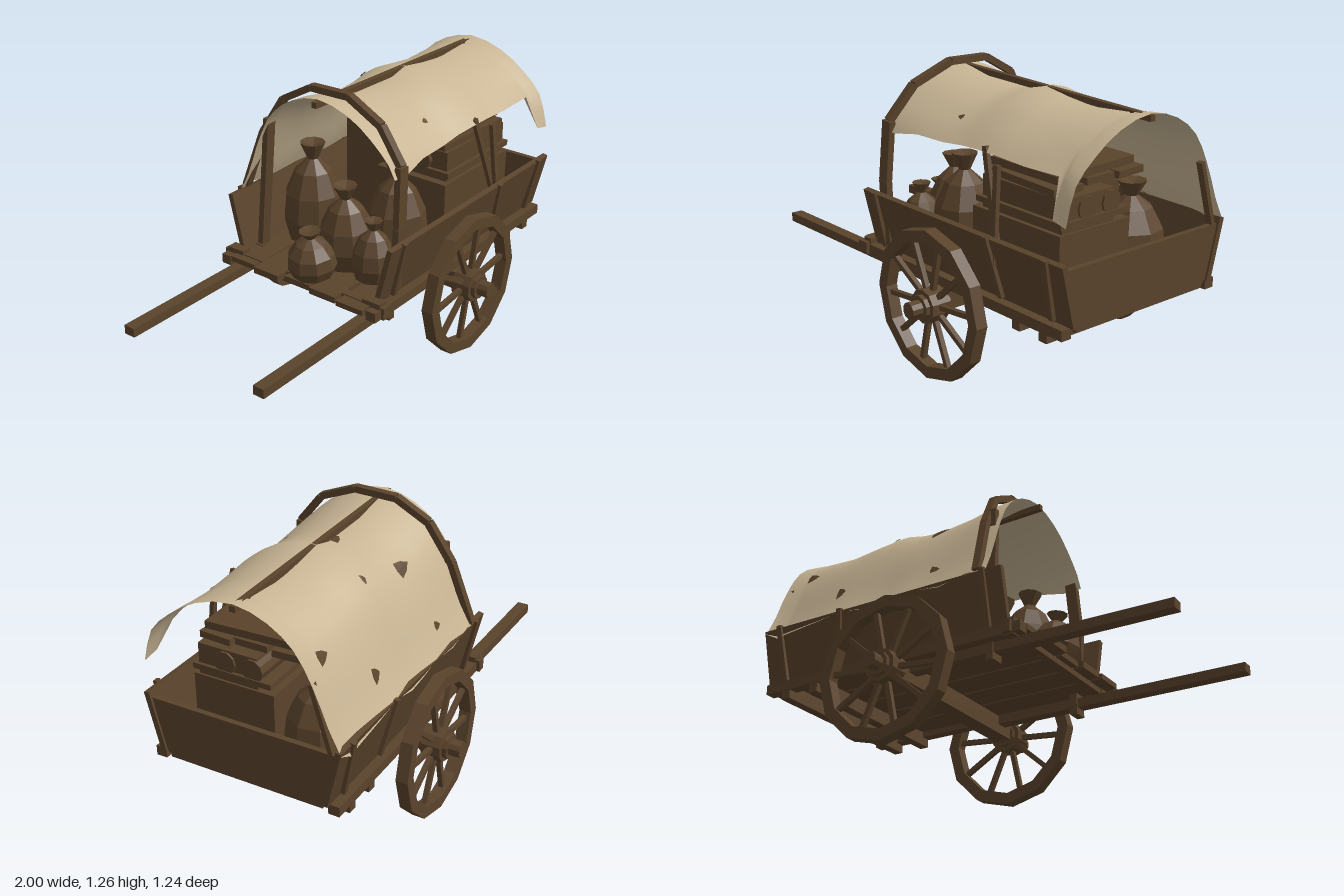
import * as THREE from 'three';

export function createModel() {
  const cart = new THREE.Group();
  const wood = new THREE.MeshStandardMaterial({ color: 0x5a432b, flatShading: true, side: THREE.DoubleSide });
  wood.name = 'brown wood';
  const canvas = new THREE.MeshStandardMaterial({ color: 0xc8b594, side: THREE.DoubleSide });
  canvas.name = 'cream canvas';

  const V = (x, y, z) => new THREE.Vector3(x, y, z);
  function add(name, geo, mat = wood, parent = cart) {
    const m = new THREE.Mesh(geo, mat);
    m.name = name;
    parent.add(m);
    return m;
  }
  // Box given by its two extreme corners
  function box(name, x0, x1, y0, y1, z0, z1) {
    const m = add(name, new THREE.BoxGeometry(x1 - x0, y1 - y0, z1 - z0));
    m.position.set((x0 + x1) / 2, (y0 + y1) / 2, (z0 + z1) / 2);
    return m;
  }
  // Bar from a to b; w is its size along ref, d its size across
  function beam(name, a, b, w, d, ref = V(1, 0, 0), parent = cart) {
    const dir = b.clone().sub(a);
    const m = add(name, new THREE.BoxGeometry(w, dir.length(), d), wood, parent);
    dir.normalize();
    const side = ref.clone().addScaledVector(dir, -ref.dot(dir)).normalize();
    const third = side.clone().cross(dir);
    m.quaternion.setFromRotationMatrix(new THREE.Matrix4().makeBasis(side, dir, third));
    m.position.copy(a).add(b).multiplyScalar(0.5);
    return m;
  }

  // Floor planks with staggered ends
  const ends = [-0.35, -0.37, -0.34, -0.36, -0.37];
  ends.forEach((x, i) => {
    const z = -0.31 + i * 0.155;
    box('floorPlank', x, 0.97 - (i % 2) * 0.03, 0.41, 0.435 + (i % 2) * 0.005, z - 0.07, z + 0.07);
  });
  // Cross beams under the floor
  box('frontCrossBeam', -0.31, -0.27, 0.385, 0.44, -0.45, 0.45);
  for (const x of [0.715, 0.87]) box('rearCrossBeam', x - 0.022, x + 0.022, 0.345, 0.41, -0.43, 0.43);
  box('axleBed', 0.225, 0.305, 0.3, 0.385, -0.46, 0.46);
  box('tailSill', 0.93, 0.98, 0.4, 0.44, -0.36, 0.36);

  // Box sides, shafts and wheels on both sides
  for (const s of [-1, 1]) {
    const top = V(0, 0.695, s * 0.445), low = V(0, 0.43, s * 0.38);
    const side = beam('sideBoard', low.clone().setX(0.365), top.clone().setX(0.365), 1.27, 0.025);
    side.name = s > 0 ? 'frontSideBoard' : 'backSideBoard';
    for (const [x0, x1] of [[-0.18, -0.18], [0.6, 0.565], [0.895, 0.91]])
      beam('sideStake', V(x0, 0.44, s * 0.405), V(x1, 0.7, s * 0.462), 0.025, 0.02);
    box('floorRail', -0.35, 0.98, 0.385, 0.43, s * 0.41 - 0.025, s * 0.41 + 0.025);
    beam('shaft', V(-1, 0.36, s * 0.36), V(0.26, 0.365, s * 0.36), 0.055, 0.042, V(0, 0, 1));
    box('shaftPeg', -0.195, -0.16, 0.31, 0.44, s * 0.36 - 0.035, s * 0.36 + 0.035);
    box('shaftBlock', -0.315, -0.265, 0.38, 0.455, s * 0.385 - 0.045, s * 0.385 + 0.045);

    const wheel = new THREE.Group();
    wheel.name = 'wheel';
    wheel.position.set(0.265, 0.33, s * 0.502);
    const ring = r => Array.from({ length: 12 }, (_, i) =>
      new THREE.Vector2(Math.sin(i * Math.PI / 6) * r, Math.cos(i * Math.PI / 6) * r));
    const shape = new THREE.Shape(ring(0.33));
    shape.holes.push(new THREE.Path(ring(0.277)));
    const rim = new THREE.ExtrudeGeometry(shape, { depth: 0.056, bevelEnabled: false });
    add('wheelRim', rim.translate(0, 0, -0.028), wood, wheel);
    for (let i = 0; i < 10; i++) {
      const a = i * Math.PI / 5 + 0.1, c = Math.cos(a), n = Math.sin(a);
      beam('spoke', V(c * 0.04, n * 0.04, 0), V(c * 0.29, n * 0.29, 0), 0.022, 0.022, V(0, 0, 1), wheel);
    }
    const hub = (name, r, len, z) => {
      const h = add(name, new THREE.CylinderGeometry(r, r, len, 10).rotateX(Math.PI / 2), wood, wheel);
      h.position.z = s * z;
    };
    hub('hub', 0.075, 0.09, 0);
    hub('hubCollar', 0.055, 0.13, 0);
    hub('axleEnd', 0.036, 0.2, 0.018);
    cart.add(wheel);
  }

  // Tailboard, wider at the top
  const tail = new THREE.Shape([[-0.37, 0.435], [0.37, 0.435], [0.425, 0.67], [-0.425, 0.67]].map(p => new THREE.Vector2(...p)));
  add('tailboard', new THREE.ExtrudeGeometry(tail, { depth: 0.025, bevelEnabled: false }).rotateY(Math.PI / 2)).position.x = 0.965;

  // Front hoop over the cover, then the posts inside
  const hoop = [[-0.165, 0.45, 0.4], [-0.16, 0.75, 0.415], [-0.14, 1.02, 0.405], [-0.12, 1.165, 0.285], [-0.1, 1.245, 0.1],
    [-0.1, 1.24, -0.1], [-0.11, 1.155, -0.25], [-0.13, 0.98, -0.355], [-0.15, 0.7, -0.45]].map(p => V(...p));
  for (let i = 0; i < hoop.length - 1; i++)
    beam('frontHoop', hoop[i], hoop[i + 1], i < 2 ? 0.055 : 0.035, 0.03);
  beam('innerPost', V(-0.16, 0.44, -0.35), V(-0.14, 1.06, -0.312), 0.05, 0.028);
  beam('rearPost', V(0.975, 0.6, -0.425), V(0.975, 0.95, -0.32), 0.03, 0.02);
  beam('brokenStave', V(0.585, 0.58, 0.435), V(0.565, 0.98, 0.4), 0.025, 0.02);
  beam('brokenStave', V(0.6, 0.58, 0.42), V(0.46, 1.03, 0.37), 0.025, 0.02);
  beam('ridgePole', V(-0.21, 1.213, 0), V(1, 1.186, 0), 0.026, 0.026, V(0, 0, 1));

  // Canvas cover: one arch profile, sagging between the hoops, hitched up on one side
  const arch = new THREE.CatmullRomCurve3([[0.44, 0.84], [0.395, 1.0], [0.3, 1.1], [0.17, 1.185], [0, 1.225], [-0.15, 1.18],
    [-0.26, 1.09], [-0.335, 0.95], [-0.4, 0.78], [-0.455, 0.67]].map(p => V(0, p[1], p[0])));
  // x, drop of the crown, start of the arch, raise of the low hem
  const stations = [[-0.19, -0.01, 0.09, 0.01], [-0.1, 0.0, 0.09, 0.03], [0.04, 0.025, 0.115, 0], [0.2, 0.05, 0.125, 0.02],
    [0.32, 0.035, 0.13, 0], [0.42, 0.01, 0.125, -0.01], [0.55, 0.03, 0.13, 0.02], [0.7, 0.045, 0.13, 0],
    [0.89, 0.03, 0.13, -0.02], [0.92, 0.025, 0.01, -0.03], [0.995, 0.02, 0, 0.01]];
  function onCover(x, t) {
    let i = 0;
    while (i < stations.length - 2 && x > stations[i + 1][0]) i++;
    const a = stations[i], b = stations[i + 1], f = (x - a[0]) / (b[0] - a[0]);
    const mix = k => a[k] + (b[k] - a[k]) * f;
    const p = arch.getPoint(mix(2) + (1 - mix(2)) * t);
    const crown = Math.max(0, (p.y - 0.85) / 0.37);
    p.y += -mix(1) * crown + mix(3) * (1 - Math.min(1, crown)) * (p.z < 0 ? 1 : 0);
    p.z *= 1 - mix(1) * 0.6 * crown;
    return p.setX(x);
  }
  const rows = 18, pos = [], idx = [];
  stations.forEach(([x], i) => {
    for (let j = 0; j <= rows; j++) {
      pos.push(...onCover(x, j / rows).toArray());
      if (i && j) {
        const d = i * (rows + 1) + j, b = d - rows - 1;
        idx.push(b - 1, d - 1, b, b, d - 1, d);
      }
    }
  });
  const cover = new THREE.BufferGeometry();
  cover.setAttribute('position', new THREE.Float32BufferAttribute(pos, 3));
  cover.setIndex(idx);
  cover.computeVertexNormals();
  add('canvasCover', cover, canvas);

  // Torn spots as thin faces lying on the cover
  for (const [x, t, rx, rt] of [[0.17, 0.63, 0.055, 0.04], [0.3, 0.38, 0.045, 0.03], [0.2, 0.13, 0.02, 0.015],
    [0.43, 0.58, 0.015, 0.025], [0.87, 0.68, 0.04, 0.03], [0.1, 0.87, 0.03, 0.02], [0.62, 0.85, 0.03, 0.03]]) {
    const pts = [];
    const corner = k => {
      const a = k * Math.PI / 3, r = k % 2 ? 1 : 0.65;
      const p = onCover(x + Math.cos(a) * rx * r, t + Math.sin(a) * rt * r);
      return p.add(V(0, p.y - 0.75, p.z).setLength(0.006)).toArray();
    };
    const mid = onCover(x, t);
    mid.add(V(0, mid.y - 0.75, mid.z).setLength(0.006));
    for (let k = 0; k < 6; k++) pts.push(...mid.toArray(), ...corner(k + 1), ...corner(k));
    const g = new THREE.BufferGeometry();
    g.setAttribute('position', new THREE.Float32BufferAttribute(pts, 3));
    g.computeVertexNormals();
    add('coverTear', g);
  }

  // Tied sacks
  const sackProfile = [[0, 0], [0.8, 0.02], [1, 0.25], [0.92, 0.5], [0.6, 0.72], [0.18, 0.84], [0.42, 1], [0, 0.95]];
  function sack(x, y, z, r, h, tilt = 0) {
    const g = new THREE.LatheGeometry(sackProfile.map(p => new THREE.Vector2(p[0] * r, p[1] * h)), 9);
    const m = add('sack', g);
    m.position.set(x, y, z);
    m.rotation.z = tilt;
  }
  sack(0.12, 0.44, 0.2, 0.14, 0.46);
  sack(-0.08, 0.44, 0.08, 0.13, 0.39, 0.05);
  sack(-0.25, 0.44, 0.02, 0.115, 0.22, 0.1);
  sack(0.02, 0.44, -0.2, 0.14, 0.48);
  sack(0.72, 0.44, -0.2, 0.15, 0.4);
  sack(-0.12, 0.44, 0.25, 0.1, 0.28);

  // Crates, rolls and loose boards
  box('lowerCrate', 0.32, 0.84, 0.44, 0.74, -0.06, 0.32);
  box('middleCrate', 0.36, 0.83, 0.74, 0.88, 0.02, 0.3);
  box('crateLid', 0.34, 0.845, 0.765, 0.79, -0.05, 0.32);
  box('backCrate', 0.36, 0.58, 0.44, 0.91, -0.27, 0.0);
  for (const [y, z] of [[0.825, 0.17], [0.825, 0.04]]) {
    const roll = add('clothRoll', new THREE.CylinderGeometry(0.05, 0.05, 0.5, 10).rotateZ(Math.PI / 2));
    roll.position.set(0.59, y, z);
  }
  [[0.3, 0.905], [0.14, 0.92], [-0.02, 0.915]].forEach(([z, y], i) => {
    const board = box('looseBoard', 0.36, 0.8, y - 0.02, y + 0.01, z - 0.15, z);
    board.rotation.y = (i - 1) * 0.06;
  });
  box('topBoard', 0.4, 0.79, 0.935, 0.968, -0.13, 0.29).rotation.x = 0.03;
  return cart;
}
